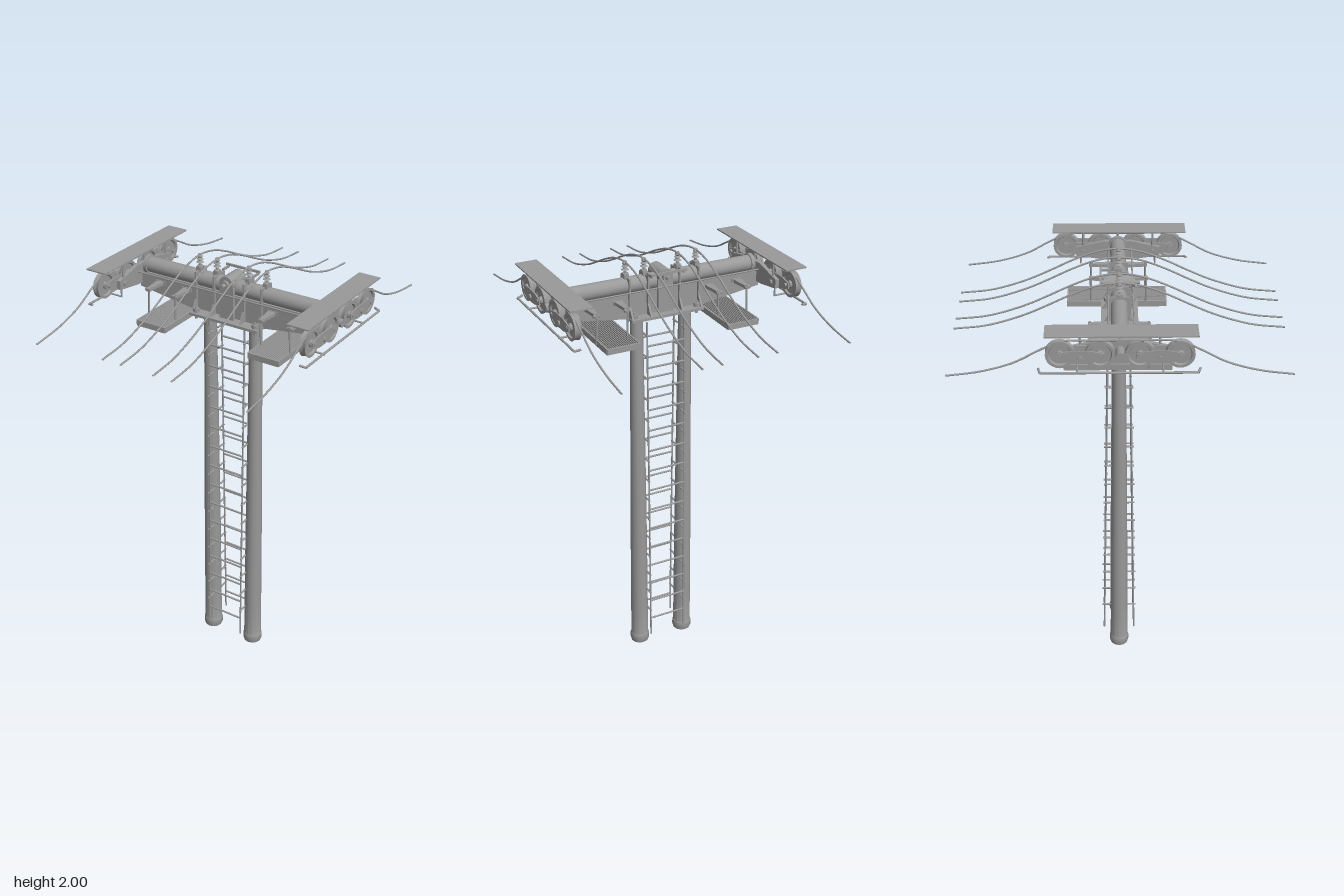
import * as THREE from 'three';
import { toCreasedNormals } from 'three/addons/utils/BufferGeometryUtils.js';

const material = new THREE.MeshStandardMaterial({ color: 0x999999, side: THREE.DoubleSide });
const V = (x, y, z) => new THREE.Vector3(x, y, z);

function add(parent, name, geometry, x = 0, y = 0, z = 0) {
  const mesh = new THREE.Mesh(geometry, material);
  mesh.name = name;
  mesh.position.set(x, y, z);
  parent.add(mesh);
  return mesh;
}

function box(parent, name, w, h, d, x, y, z) {
  return add(parent, name, new THREE.BoxGeometry(w, h, d), x, y, z);
}

// Straight round bar between two points
function rod(parent, name, a, b, r, sides = 10) {
  const mesh = add(parent, name, new THREE.CylinderGeometry(r, r, a.distanceTo(b), sides));
  mesh.position.copy(a).lerp(b, 0.5);
  mesh.quaternion.setFromUnitVectors(V(0, 1, 0), b.clone().sub(a).normalize());
  return mesh;
}

function cable(parent, name, points, r) {
  return add(parent, name, new THREE.TubeGeometry(new THREE.CatmullRomCurve3(points), 48, r, 10));
}

// Flat plate outlined by 2D points, extruded symmetrically about z = 0
function plate(points, depth) {
  const shape = new THREE.Shape(points.map(([x, y]) => new THREE.Vector2(x, y)));
  return new THREE.ExtrudeGeometry(shape, { depth, bevelEnabled: false }).translate(0, 0, -depth / 2);
}

// Turned part with smooth sides and sharp edges
function lathe(points, segments) {
  return toCreasedNormals(new THREE.LatheGeometry(points.map(([r, y]) => new THREE.Vector2(r, y)), segments), 0.6);
}

// Twin tapered columns with base collars
function buildColumns(root) {
  const column = lathe([[0, 0], [0.043, 0], [0.046, 0.01], [0.046, 0.04], [0.042, 0.05],
    [0.041, 0.22], [0.039, 0.6], [0.034, 1.15], [0.028, 1.74], [0, 1.74]], 12);
  for (const s of [-1, 1]) add(root, 'column', column, s * 0.117);
}

// Front and back ladders, leaning in with the taper of the columns
function buildLadders(root) {
  const ladderZ = y => 0.074 - 0.027 * y / 1.74;
  for (const f of [-1, 1]) {
    const ladder = new THREE.Group();
    ladder.name = 'ladder';
    root.add(ladder);
    for (const s of [-1, 1]) {
      rod(ladder, 'ladderRail', V(s * 0.09, 0.065, f * ladderZ(0.065)), V(s * 0.09, 1.72, f * ladderZ(1.72)), 0.004);
    }
    for (let i = 0; i < 15; i++) {
      const y = 0.16 + i * 0.1033, z = f * ladderZ(y);
      rod(ladder, 'rung', V(-0.09, y, z), V(0.09, y, z), 0.0045);
      const by = y + 0.052, bz = ladderZ(by);
      for (const s of [-1, 1]) {
        rod(ladder, 'ladderBracket', V(s * 0.093, by, f * 0.02), V(s * 0.093, by, f * (bz + 0.011)), 0.0045);
      }
    }
  }
}

// Cross arm: tapered beam, tube on top, saddle and thin hand rods
function buildCrossArm(root) {
  const arm = new THREE.Group();
  arm.name = 'crossArm';
  root.add(arm);
  add(arm, 'taperedBeam', plate([[-0.47, 1.785], [-0.17, 1.742], [0.17, 1.742], [0.47, 1.785],
    [0.47, 1.845], [0.43, 1.858], [-0.43, 1.858], [-0.47, 1.845]], 0.06));
  rod(arm, 'crossTube', V(-0.44, 1.886, 0), V(0.44, 1.886, 0), 0.035, 24);
  for (const s of [-1, 1]) {
    rod(arm, 'tubeFlange', V(s * 0.43, 1.886, 0), V(s * 0.447, 1.886, 0), 0.041, 24);
  }
  for (const z of [-0.045, 0.06]) rod(arm, 'handRod', V(-0.46, 1.865, z), V(0.46, 1.865, z), 0.0035);

  // Saddle over the columns
  box(arm, 'saddlePlate', 0.345, 0.012, 0.16, 0, 1.745, 0.003);
  const rib = plate([[-0.07, 1.75], [0.07, 1.75], [0.042, 1.80], [0.042, 1.925], [-0.042, 1.925], [-0.042, 1.80]], 0.008);
  rib.rotateY(Math.PI / 2);
  for (const x of [-0.165, -0.072, 0.078, 0.165]) add(arm, 'saddleRib', rib, x);
  for (const x of [-0.15, 0.15]) for (const z of [-0.05, 0.06]) {
    rod(arm, 'anchorNut', V(x, 1.748, z), V(x, 1.768, z), 0.014, 12);
    rod(arm, 'anchorStud', V(x, 1.72, z), V(x, 1.775, z), 0.006);
  }

  // Roller lying across the centre, on two cradles
  const roller = lathe([[0, -0.085], [0.009, -0.085], [0.009, -0.065], [0.018, -0.065], [0.018, -0.052],
    [0.034, -0.052], [0.034, 0.052], [0.018, 0.052], [0.018, 0.065], [0.009, 0.065], [0.009, 0.085], [0, 0.085]], 20);
  add(arm, 'centreRoller', roller.rotateX(Math.PI / 2), 0, 1.912, 0.003);
  for (const z of [-0.04, 0.046]) box(arm, 'rollerCradle', 0.07, 0.15, 0.012, 0, 1.825, z);
  box(arm, 'backBar', 0.17, 0.01, 0.008, 0, 1.94, -0.078);
  for (const x of [-0.072, 0.078]) box(arm, 'backBarArm', 0.008, 0.01, 0.05, x, 1.932, -0.055);
}

// Insulators and the four light cables draped over them
function buildCables(root) {
  const half = [[0.69, 1.785], [0.55, 1.80], [0.4, 1.845], [0.3, 1.889], [0.2, 1.937], [0.1, 1.975]];
  const path = x => [...half.map(([z, y]) => V(x, y, z)), V(x, 1.99, 0),
    ...half.slice().reverse().map(([z, y]) => V(x, y, -z))];
  const insulator = lathe([[0, 0], [0.014, 0], [0.014, 0.012], [0.006, 0.014], [0.006, 0.024], [0.017, 0.027],
    [0.008, 0.034], [0.008, 0.038], [0.015, 0.041], [0.007, 0.048], [0.012, 0.053], [0.007, 0.066], [0, 0.066]], 12);
  for (const x of [-0.168, -0.08, 0.08, 0.168]) {
    box(root, 'insulatorBase', 0.022, 0.03, 0.03, x, 1.923, 0);
    add(root, 'insulator', insulator, x, 1.929, 0);
    cable(root, 'lightCable', path(x), 0.004);
  }
}

// Hanging service platform on one side, with grating and support arms
function buildPlatform(side) {
  const platform = new THREE.Group();
  platform.name = 'servicePlatform';
  const x0 = 0.212, x1 = 0.358, z0 = -0.225, z1 = 0.212, y = 1.706, zc = (z0 + z1) / 2;
  for (const x of [x0, x1]) box(platform, 'platformSideRail', 0.007, 0.026, z1 - z0, x, y, zc);
  for (const z of [z0, z1]) box(platform, 'platformEndRail', x1 - x0, 0.026, 0.007, (x0 + x1) / 2, y, z);
  for (let i = 1; i < 16; i++) {
    box(platform, 'gratingBar', 0.004, 0.022, z1 - z0, x0 + (x1 - x0) * i / 16, y, zc);
  }
  for (const z of [-0.1, 0.1]) box(platform, 'gratingCrossBar', x1 - x0, 0.01, 0.006, (x0 + x1) / 2, y - 0.006, z);
  const armShape = plate([[-0.007, -0.13], [0.007, -0.13], [0.018, -0.035], [0.018, 0.035],
    [0.007, 0.13], [-0.007, 0.13], [-0.018, 0.035], [-0.018, -0.035]], 0.014);
  armShape.rotateX(Math.PI / 2);
  for (const x of [0.217, 0.358]) {
    add(platform, 'platformArm', armShape, x, 1.827, 0);
    box(platform, 'armClamp', 0.048, 0.018, 0.07, x, 1.827, 0);
    for (const z of [-0.122, 0.122]) {
      rod(platform, 'hanger', V(x - 0.004, 1.838, z), V(x + 0.003, 1.70, z), 0.0045);
      rod(platform, 'hangerPin', V(x - 0.012, 1.827, z), V(x + 0.015, 1.827, z), 0.007);
    }
  }
  if (side < 0) platform.scale.x = -1;
  return platform;
}

// Wheel train at one arm end, with cover, rope catcher and haul rope
function buildSheaves(side) {
  const train = new THREE.Group();
  train.name = 'sheaveTrain';
  const wheel = lathe([[0, -0.012], [0.014, -0.016], [0.016, -0.006], [0.042, -0.006], [0.046, -0.014], [0.058, -0.014],
    [0.053, 0], [0.058, 0.014], [0.046, 0.014], [0.042, 0.006], [0.016, 0.006], [0.014, 0.016], [0, 0.012]], 24);
  wheel.rotateZ(Math.PI / 2);
  for (const z of [-0.236, -0.078, 0.078, 0.236]) {
    add(train, 'sheave', wheel, 0.512, 1.855, z);
    rod(train, 'sheaveAxle', V(0.475, 1.855, z), V(0.541, 1.855, z), 0.008);
  }
  // Rocker plates joining the wheels in pairs
  const rocker = plate([[-0.095, 0.012], [-0.04, 0.024], [0.04, 0.024], [0.095, 0.012],
    [0.095, -0.012], [0.04, -0.03], [-0.04, -0.03], [-0.095, -0.012]], 0.006);
  rocker.rotateY(Math.PI / 2);
  for (const z of [-0.157, 0.157]) {
    for (const x of [0.488, 0.534]) add(train, 'rockerPlate', rocker, x, 1.853, z);
    rod(train, 'rockerPivot', V(0.45, 1.845, z), V(0.544, 1.845, z), 0.011, 12);
  }
  const beam = plate([[-0.19, 1.825], [-0.06, 1.805], [0.06, 1.805], [0.19, 1.825],
    [0.19, 1.865], [0.06, 1.895], [-0.06, 1.895], [-0.19, 1.865]], 0.018);
  add(train, 'mainRocker', beam.rotateY(Math.PI / 2), 0.468);
  rod(train, 'mainPivot', V(0.43, 1.85, 0), V(0.535, 1.85, 0), 0.018, 16);

  // Cover and its posts
  box(train, 'coverPlate', 0.1, 0.006, 0.6, 0.495, 1.943, 0.005);
  for (const z of [-0.157, 0, 0.157]) {
    rod(train, 'coverPost', V(0.466, 1.86, z), V(0.466, 1.943, z), 0.005);
  }
  // Bent catcher bar below the wheels
  const corners = [V(0.515, 1.79, -0.322), V(0.541, 1.784, -0.315), V(0.541, 1.784, 0.307), V(0.515, 1.79, 0.316)];
  for (let i = 0; i < 3; i++) rod(train, 'catcherBar', corners[i], corners[i + 1], 0.005);
  for (const z of [-0.17, 0.17]) {
    rod(train, 'catcherArm', V(0.468, 1.785, z), V(0.548, 1.785, z), 0.004);
    rod(train, 'catcherStrut', V(0.47, 1.785, z), V(0.47, 1.845, z), 0.004);
  }
  // Haul rope over the wheels
  const half = [[0.69, 1.758], [0.55, 1.777], [0.42, 1.815], [0.32, 1.868], [0.236, 1.907], [0.078, 1.912]];
  cable(train, 'haulRope', [...half.map(([z, y]) => V(0.512, y, z)),
    ...half.slice().reverse().map(([z, y]) => V(0.512, y, -z))], 0.004);
  if (side < 0) train.scale.x = -1;
  return train;
}

export function createModel() {
  const root = new THREE.Group();
  root.name = 'cablewayTower';
  buildColumns(root);
  buildLadders(root);
  buildCrossArm(root);
  buildCables(root);
  for (const side of [-1, 1]) root.add(buildPlatform(side), buildSheaves(side));
  return root;
}
